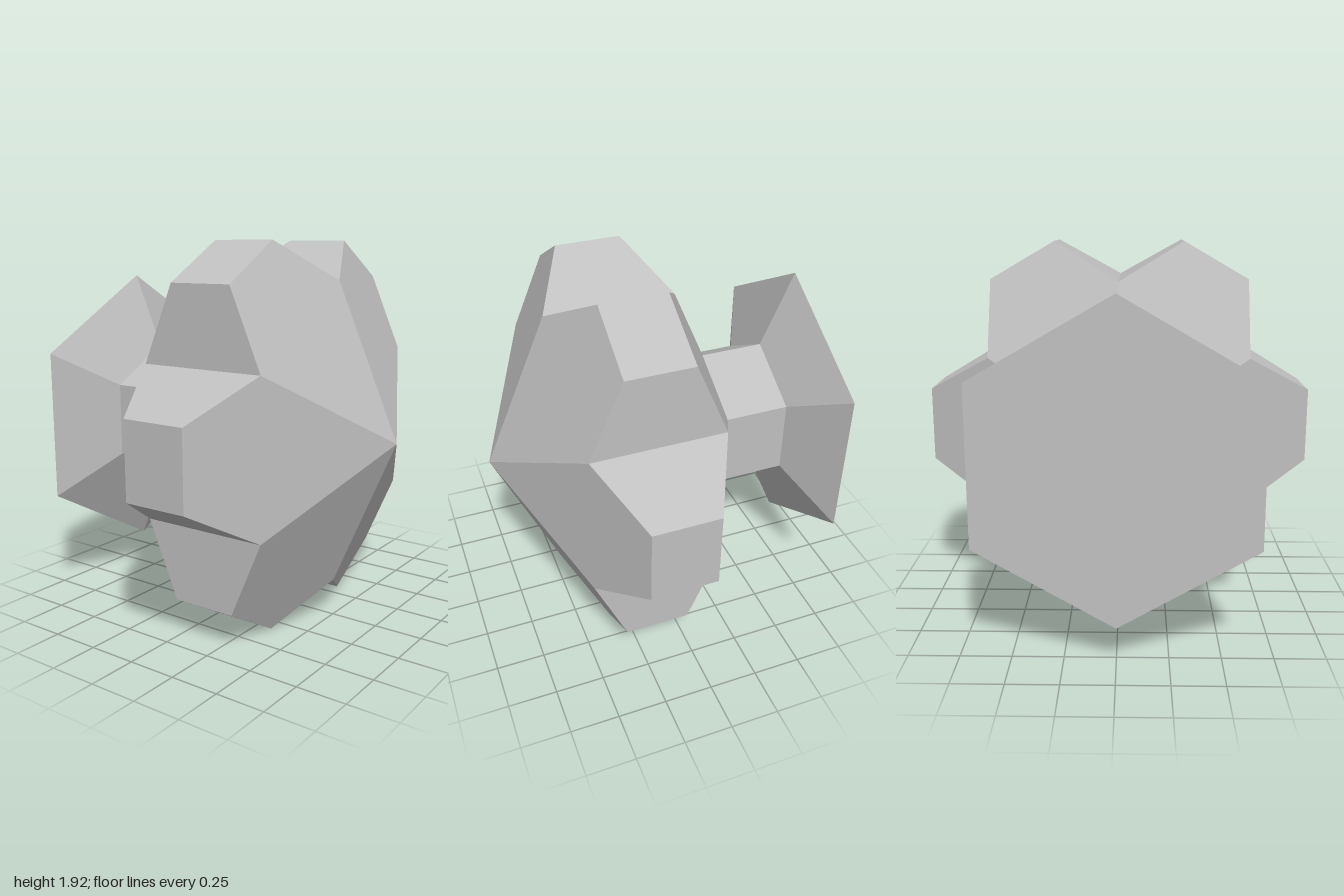
import * as THREE from 'three';

const R = 2 / (3 * Math.sqrt(3)); // hexagon radius
const CENTER_Y = 2.5 * R;
const HALF = R / 2;

// Flat polygon faces (corners counter-clockwise from outside) as one geometry
function facesGeometry(faces) {
  const pos = [];
  for (const f of faces) {
    for (let i = 1; i < f.length - 1; i++) pos.push(...f[0], ...f[i], ...f[i + 1]);
  }
  const g = new THREE.BufferGeometry();
  g.setAttribute('position', new THREE.Float32BufferAttribute(pos, 3));
  g.computeVertexNormals();
  return g;
}

export function createModel() {
  const group = new THREE.Group();
  const grey = new THREE.MeshStandardMaterial({ color: 0xc0c0c0 });
  grey.flatShading = true;

  const body = new THREE.Group();
  body.position.y = CENTER_Y;
  group.add(body);

  const add = (name, geometry, parent = body) => {
    const mesh = new THREE.Mesh(geometry, grey);
    mesh.name = name;
    parent.add(mesh);
    return mesh;
  };

  // One petal, pointing along +x: sloped front, sloped back and three rim walls
  const outline = [[2 / 3, -R], [1, -HALF], [1, HALF], [2 / 3, R]];
  const frontZ = (x) => 5 / 6 - x / 2;
  const backZ = (x) => (x - 1) / 2;
  const front = outline.map(([x, y]) => [x, y, frontZ(x)]);
  const back = outline.map(([x, y]) => [x, y, backZ(x)]);

  const petalFront = facesGeometry([[[0, 0, 5 / 6], ...front]]);
  const petalBack = facesGeometry([
    [[1 / 3, -HALF, -1 / 3], [1 / 3, HALF, -1 / 3], ...[...back].reverse()],
  ]);
  const petalRim = facesGeometry(
    [0, 1, 2].map((i) => [back[i], back[i + 1], front[i + 1], front[i]]),
  );

  for (let k = 0; k < 6; k++) {
    const petal = new THREE.Group();
    petal.name = 'petal' + (k + 1);
    petal.rotation.z = (k * Math.PI) / 3;
    add('petalFront', petalFront, petal);
    add('petalBack', petalBack, petal);
    add('petalRim', petalRim, petal);
    body.add(petal);
  }

  // Hexagonal stem behind the petals
  const stem = new THREE.CylinderGeometry(R, R, 1 / 3, 6, 1, true);
  add('stem', stem.rotateX(Math.PI / 2)).position.z = -0.5;

  // Flared base plate at the back
  const base = new THREE.CylinderGeometry(R, 2 * R, 1 / 6, 6);
  add('flaredBase', base.rotateX(Math.PI / 2)).position.z = -0.75;

  return group;
}
